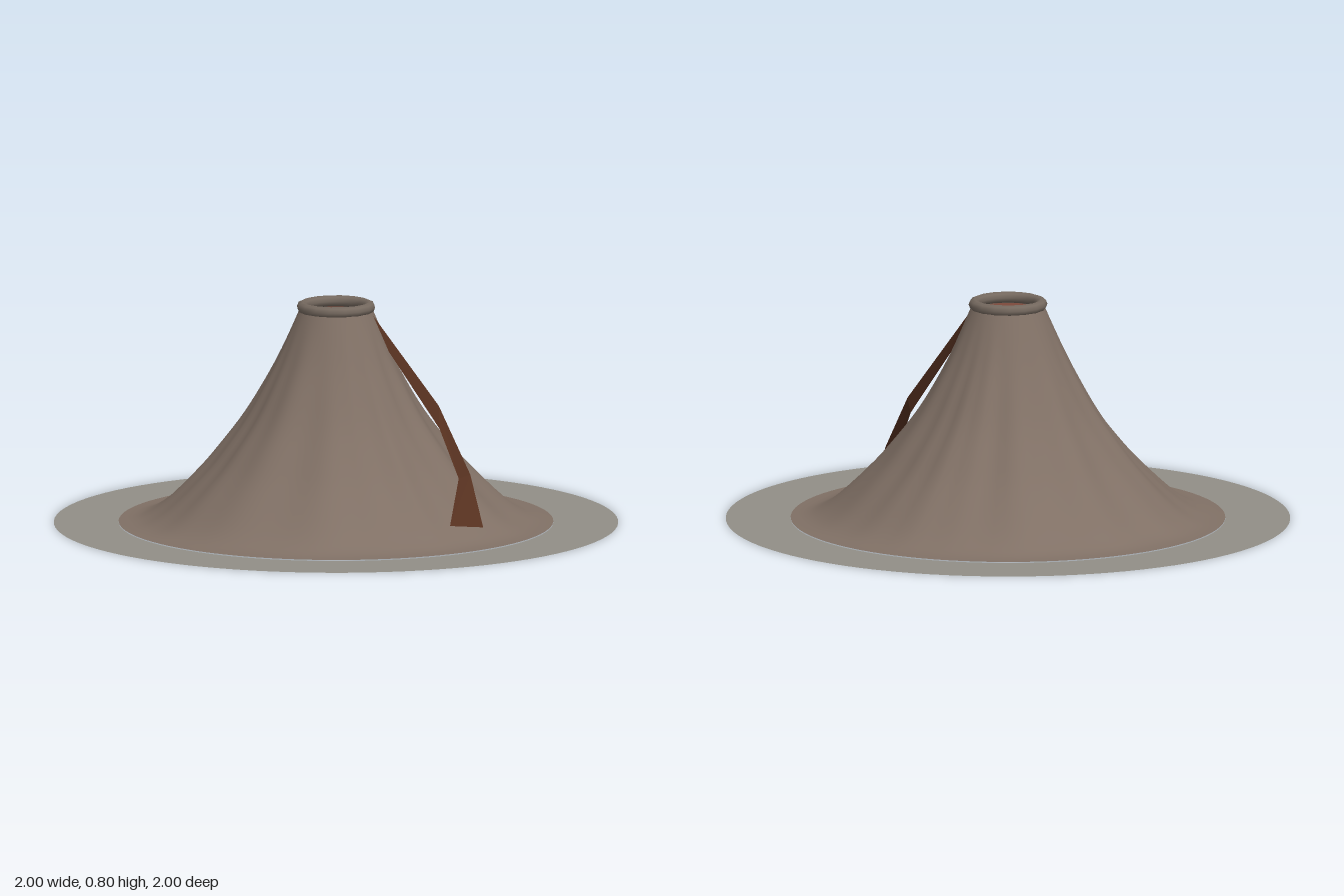
import * as THREE from 'three';
import { mergeVertices } from 'three/addons/utils/BufferGeometryUtils.js';

const V2 = (x, y) => new THREE.Vector2(x, y);
const V3 = (x, y, z) => new THREE.Vector3(x, y, z);

function part(name, geometry, color, side = THREE.FrontSide) {
  const mesh = new THREE.Mesh(geometry, new THREE.MeshStandardMaterial({ color, side }));
  mesh.name = name;
  return mesh;
}

// Flared, open cone with soft erosion folds running down the slope
function slopeGeometry() {
  const profile = new THREE.SplineCurve([
    V2(0.77, 0.004), V2(0.69, 0.015), V2(0.6, 0.07), V2(0.475, 0.19), V2(0.395, 0.285),
    V2(0.325, 0.38), V2(0.265, 0.48), V2(0.2, 0.605), V2(0.13, 0.765),
  ]).getPoints(28);
  let geo = new THREE.LatheGeometry(profile, 96);
  geo.deleteAttribute('uv');
  geo.deleteAttribute('normal');
  geo = mergeVertices(geo, 1e-4);
  const p = geo.attributes.position;
  for (let i = 0; i < p.count; i++) {
    const x = p.getX(i), y = p.getY(i), z = p.getZ(i);
    const r = Math.hypot(x, z), a = Math.atan2(z, x);
    // folds fade out at the crater and at the foot
    const fade = Math.sin(Math.PI * THREE.MathUtils.clamp((0.77 - r) / 0.62, 0, 1));
    const fold = Math.sin(9 * a + 1.5 * Math.sin(2 * a) + 4 * y) + 0.6 * Math.sin(17 * a + 2 * Math.sin(3 * a));
    const s = 1 + 0.017 * fade * fold / r * 0.5;
    p.setXYZ(i, x * s, y, z * s);
  }
  geo.computeVertexNormals();
  return geo;
}

// Flat-faced strip between paired edge points
function ribbonGeometry(pairs) {
  const pos = [];
  for (let i = 0; i < pairs.length - 1; i++) {
    const [a, b] = pairs[i], [c, d] = pairs[i + 1];
    for (const v of [a, c, b, b, c, d]) pos.push(v.x, v.y, v.z);
  }
  const geo = new THREE.BufferGeometry();
  geo.setAttribute('position', new THREE.Float32BufferAttribute(pos, 3));
  geo.computeVertexNormals();
  return geo;
}

export function createModel() {
  const model = new THREE.Group();
  model.name = 'volcano';

  // Flat ground ring around the foot
  const ground = part('groundRing', new THREE.RingGeometry(0.77, 1, 96), 0x918e86, THREE.DoubleSide);
  ground.rotation.x = -Math.PI / 2;
  model.add(ground);

  // Mountain slope, hollow and open below
  model.add(part('slope', slopeGeometry(), 0x807065, THREE.DoubleSide));

  // Rounded crater lip
  const rim = part('craterRim', new THREE.TorusGeometry(0.12, 0.02, 8, 16), 0x75695f);
  rim.rotation.x = Math.PI / 2;
  rim.position.y = 0.775;
  model.add(rim);

  // Lava pool inside the crater
  const pool = part('lavaPool', new THREE.CircleGeometry(0.115, 16), 0x7d4a3c);
  pool.rotation.x = -Math.PI / 2;
  pool.position.y = 0.755;
  model.add(pool);

  // Bent lava stream running down the left slope
  model.add(part('lavaStream', ribbonGeometry([
    [V3(0.18, 0.63, -0.1), V3(0.115, 0.75, -0.08)],
    [V3(0.28, 0.35, -0.25), V3(0.22, 0.42, -0.29)],
    [V3(0.45, 0.2, -0.21), V3(0.41, 0.2, -0.29)],
    [V3(0.7, 0.09, 0.01), V3(0.68, 0.065, -0.15)],
  ]), 0x55301f, THREE.DoubleSide));

  return model;
}
